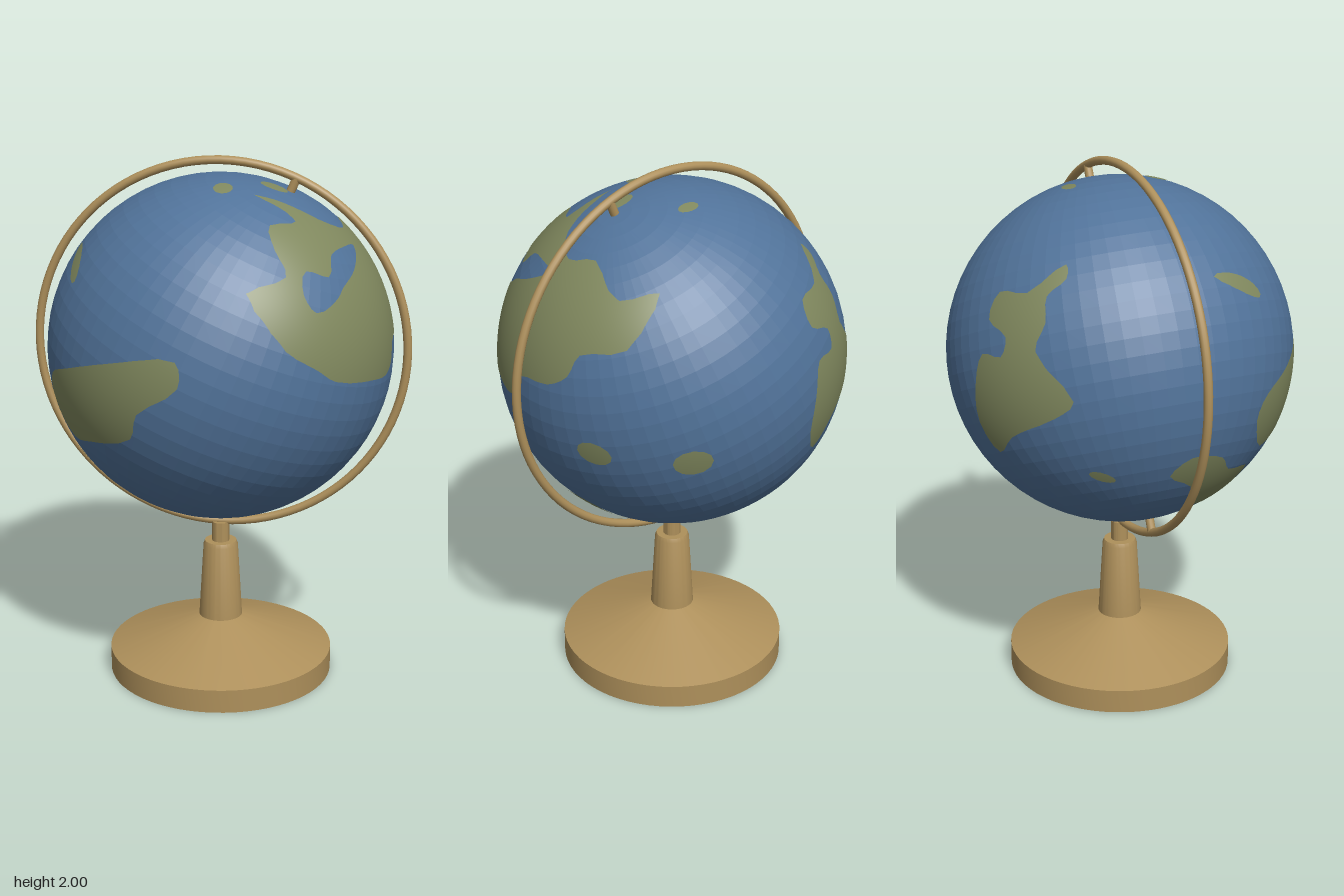
import * as THREE from 'three';
import { toCreasedNormals } from 'three/addons/utils/BufferGeometryUtils.js';

const CENTRE_Y = 1.292, RADIUS = 0.64, TILT = THREE.MathUtils.degToRad(23.5);

// Smooth closed coastline through a few points, in hundredths of a unit
function coastline(list) {
  const points = [];
  for (let i = 0; i < list.length; i += 2) points.push(new THREE.Vector3(list[i] / 100, list[i + 1] / 100, 0));
  const curve = new THREE.CatmullRomCurve3(points, true);
  return curve.getPoints(points.length * 3).slice(0, -1).map((p) => new THREE.Vector2(p.x, p.y));
}

// Oval island outline, in hundredths of a unit
function oval(x, y, halfWidth, halfHeight) {
  const curve = new THREE.EllipseCurve(x / 100, y / 100, halfWidth / 100, halfHeight / 100);
  return curve.getPoints(12).slice(0, -1);
}

// Wraps a flat outline onto the ball: the plane faces the given azimuth and
// elevation, its triangles are split evenly and lifted to the surface.
function landGeometry(azimuth, elevation, outline, holes) {
  const a = THREE.MathUtils.degToRad(azimuth), e = THREE.MathUtils.degToRad(elevation);
  const right = new THREE.Vector3(Math.cos(a), 0, -Math.sin(a));
  const out = new THREE.Vector3(Math.sin(a) * Math.cos(e), Math.sin(e), Math.cos(a) * Math.cos(e));
  const up = out.clone().cross(right);
  const positions = [], normals = [];

  const lift = (p) => {
    const depth = Math.sqrt(Math.max(0, RADIUS * RADIUS - p.lengthSq()));
    const n = new THREE.Vector3().addScaledVector(right, p.x).addScaledVector(up, p.y)
      .addScaledVector(out, depth).normalize();
    normals.push(n.x, n.y, n.z);
    n.multiplyScalar(RADIUS + 0.002);
    positions.push(n.x, n.y, n.z);
  };
  const split = (p, q, r, level) => {
    if (level === 0) return [p, q, r].forEach(lift);
    const pq = p.clone().lerp(q, 0.5), qr = q.clone().lerp(r, 0.5), rp = r.clone().lerp(p, 0.5);
    split(p, pq, rp, level - 1);
    split(pq, q, qr, level - 1);
    split(rp, qr, r, level - 1);
    split(pq, qr, rp, level - 1);
  };

  const all = outline.concat(...holes);
  for (const [i, j, k] of THREE.ShapeUtils.triangulateShape(outline, holes)) {
    const p = all[i], q = all[j], r = all[k];
    const clockwise = q.clone().sub(p).cross(r.clone().sub(p)) < 0;
    if (clockwise) split(p, r, q, 4);
    else split(p, q, r, 4);
  }
  const geometry = new THREE.BufferGeometry();
  geometry.setAttribute('position', new THREE.Float32BufferAttribute(positions, 3));
  geometry.setAttribute('normal', new THREE.Float32BufferAttribute(normals, 3));
  return geometry;
}

export function createModel() {
  const ocean = new THREE.MeshStandardMaterial({ name: 'ocean blue', color: 0x51739a, flatShading: true });
  const land = new THREE.MeshStandardMaterial({ name: 'land green', color: 0x80885e });
  const wood = new THREE.MeshStandardMaterial({ name: 'stand tan', color: 0xae905b });

  const model = new THREE.Group();
  model.name = 'deskGlobe';
  const add = (parent, name, geometry, material) => {
    const mesh = new THREE.Mesh(geometry, material);
    mesh.name = name;
    parent.add(mesh);
    return mesh;
  };

  // Turned foot, stem and collar
  const profile = [[0, 0], [0.428, 0], [0.428, 0.09], [0.083, 0.215], [0.066, 0.505], [0.06, 0.52],
    [0.033, 0.52], [0.033, 0.597], [0, 0.597]].map(([x, y]) => new THREE.Vector2(x, y));
  add(model, 'stand', toCreasedNormals(new THREE.LatheGeometry(profile, 64), 0.6), wood);

  // Everything around the centre of the ball
  const globe = new THREE.Group();
  globe.name = 'globe';
  globe.position.y = CENTRE_Y;
  model.add(globe);
  add(globe, 'meridianRing', new THREE.TorusGeometry(0.692, 0.016, 12, 96), wood);

  // Ball and pivot pins share the tilted axis
  const axis = new THREE.Group();
  axis.name = 'tiltedAxis';
  axis.rotation.z = -TILT;
  globe.add(axis);
  add(axis, 'ball', new THREE.SphereGeometry(RADIUS, 64, 32), ocean);
  for (const [name, side] of [['northPin', 1], ['southPin', -1]]) {
    add(axis, name, new THREE.CylinderGeometry(0.016, 0.016, 0.07, 16), wood).position.y = side * 0.655;
  }

  // Continents
  const addLand = (name, azimuth, elevation, outline, holes = []) =>
    add(globe, name, landGeometry(azimuth, elevation, outline, holes), land);

  const inlandSea = coastline([-6, 41, -18, 35, -29, 31, -34, 28, -43, 25, -43, 31, -37, 38, -32, 35, -24, 41, -14, 42]);
  addLand('eastContinent', 90, 0, coastline([-54, 14, -52, 33, -43, 37, -38, 45, -30, 52, -22, 52, -17, 60,
    -12, 51, -1, 46, 10, 48, 26, 39, 35, 42, 35, 25, 21, 21, 18, 13, 10, 8, -5, 6, -8, -1, -14, -4, -25, -3,
    -43, 1, -48, 6]), [inlandSea]);
  addLand('frontContinent', 0, 0, coastline([-56, -4, -48, 1, -28, 8, -5, 11, -4, 2, -19, -9, -22, -19,
    -39, -25, -48, -27, -57, -13]));
  addLand('backContinent', 215, 25, coastline([5, 21, 7, 16, 2, 9, 4, 0, 2, -10, 17, -24, 10, -31, -8, -40,
    -16, -46, -24, -37, -24, -24, -21, -14, -12, -14, -11, -7, -20, -2, -18, 8, -6, 9]));
  addLand('westContinent', -90, 0, coastline([12, -24, 17, -31, 28, -34, 25, -42, 15, -49, 5, -46, 2, -35,
    -8, -28, -1, -21]));
  addLand('southContinent', 90, 0, coastline([-8, -46, 0, -43, 10, -46, 11, -57, 1, -62, -14, -55]));

  // Islands
  addLand('westIsland', 0, 0, oval(-48, 34.5, 2.2, 5.5));
  addLand('southWestIsland', 215, 25, oval(23, -47, 4, 1.5));
  addLand('eastIsland', 90, 0, oval(27, -14, 6, 4.5));
  addLand('backIsland', 140, -30, oval(8.5, 18, 7, 5));
  addLand('northBackIsland', 0, 90, oval(6.5, 17, 4.2, 2.3));
  addLand('poleIsland', 0, 90, oval(20, -4, 5, 3.5));
  addLand('northFrontIsland', 0, 90, oval(3.5, -16, 3.5, 4.2));

  return model;
}
